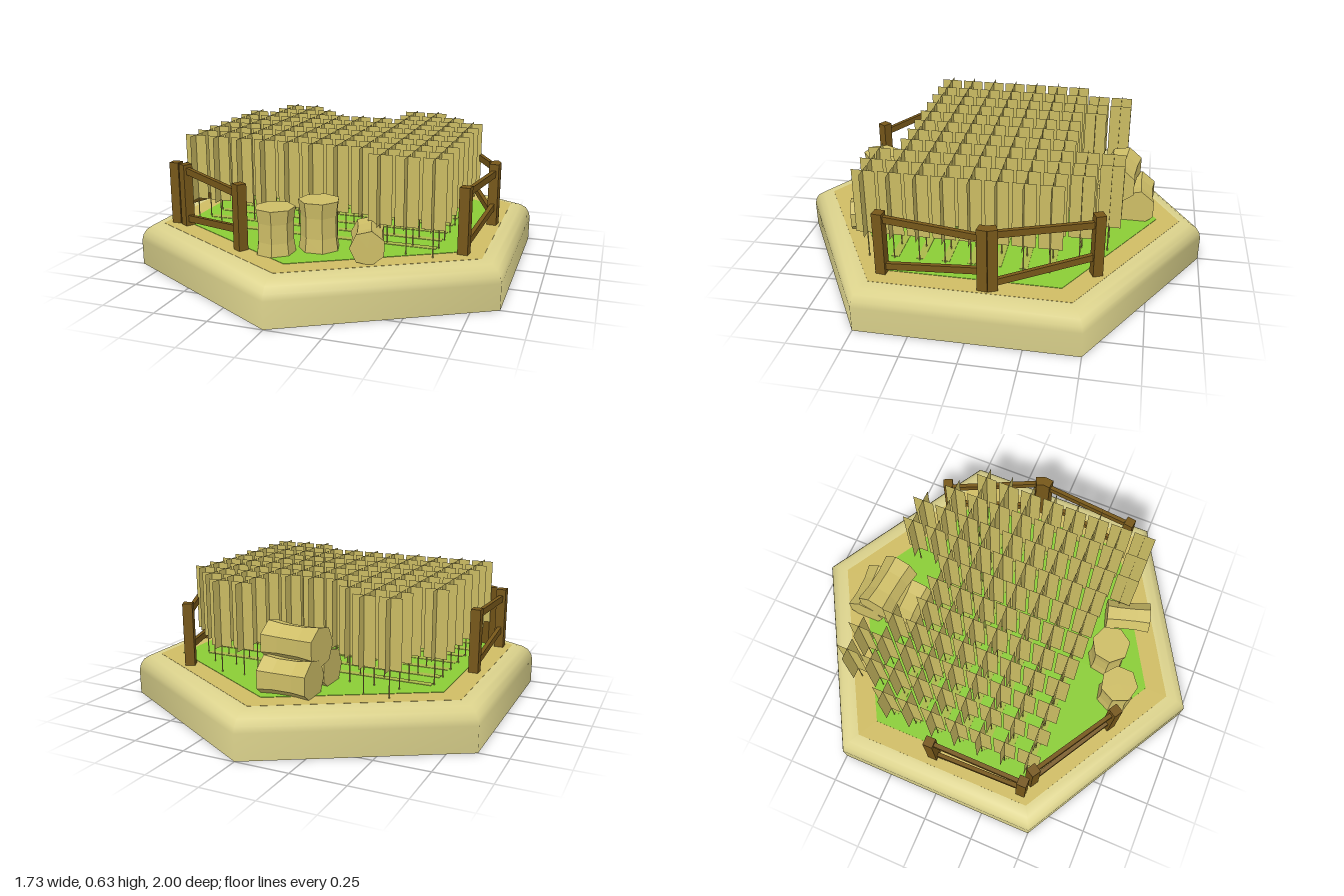
import * as THREE from 'three';
import { mergeGeometries } from 'three/addons/utils/BufferGeometryUtils.js';

const mat = (name, color, extra = {}) => {
  const m = new THREE.MeshStandardMaterial({ color, ...extra });
  m.name = name;
  return m;
};

export function createModel() {
  const group = new THREE.Group();
  const sand = mat('sand', 0xdbd28c);
  const dirt = mat('dirt', 0xcfbc64);
  const grass = mat('grass', 0x8acc36);
  const furrowTint = mat('furrow', 0xa9b84a);
  const wheat = mat('wheat', 0xcabb62, { side: THREE.DoubleSide });
  const straw = mat('straw', 0xcdbd66, { flatShading: true });
  const wood = mat('wood', 0x765719);

  const add = (name, geometry, material, parent = group) => {
    const mesh = new THREE.Mesh(geometry, material);
    mesh.name = name;
    parent.add(mesh);
    return mesh;
  };
  const lathe = (pts, sides) =>
    new THREE.LatheGeometry(pts.map(([r, y]) => new THREE.Vector2(r, y)), sides);

  // Hexagonal tile: rounded rim, flat bottom, dirt border and grass
  add('tileRim', lathe([[1, 0], [1, 0.12], [0.993, 0.148], [0.975, 0.175], [0.945, 0.193], [0.9, 0.2], [0.86, 0.2]], 6), sand);
  add('tileBottom', lathe([[0, 0], [1, 0]], 6), sand);
  add('dirtBorder', new THREE.CylinderGeometry(0.89, 0.89, 0.006, 6), dirt).position.y = 0.198;
  add('grass', new THREE.CylinderGeometry(0.78, 0.78, 0.006, 6), grass).position.y = 0.2;

  // Furrows under the seven full rows
  const pitch = 0.118;
  const colX = (i) => -0.61 + i * pitch;
  const rowZ = (j) => -0.56 + j * pitch;
  for (let j = 2; j <= 8; j++) {
    add('furrow', new THREE.BoxGeometry(1.16, 0.004, 0.035), furrowTint)
      .position.set(-0.02, 0.203, rowZ(j));
  }

  // Wheat: each plant is two crossed blades on a thin stem
  const plantGeometry = mergeGeometries([
    new THREE.PlaneGeometry(0.106, 0.31).translate(0, 0.48, 0),
    new THREE.PlaneGeometry(0.106, 0.31).rotateY(Math.PI / 2).translate(0, 0.48, 0),
    new THREE.CylinderGeometry(0.003, 0.003, 0.14, 4).translate(0, 0.26, 0),
  ]);
  const allColumns = [0, 1, 2, 3, 4, 5, 6, 7, 8, 9, 10];
  const partialRows = { 0: [1, 2, 7, 8], 1: [1, 2, 3, 7, 8, 9], 9: [8, 9, 10] };
  const plants = [];
  for (let j = 0; j < 10; j++) {
    for (const i of partialRows[j] ?? allColumns) {
      plants.push(plantGeometry.clone().translate(colX(i), 0, rowZ(j)));
    }
  }
  add('wheatField', mergeGeometries(plants), wheat);

  // Fences: two posts and two crooked rails
  const up = new THREE.Vector3(0, 1, 0);
  const addFence = (ax, az, bx, bz) => {
    const fence = new THREE.Group();
    fence.name = 'fence';
    const length = Math.hypot(bx - ax, bz - az);
    for (const x of [0, length]) {
      add('post', new THREE.BoxGeometry(0.046, 0.31, 0.046), wood, fence).position.set(x, 0.345, 0);
    }
    for (const [y0, y1] of [[0.47, 0.452], [0.233, 0.293]]) {
      const rail = add('rail', new THREE.BoxGeometry(Math.hypot(length, y1 - y0), 0.032, 0.02), wood, fence);
      rail.position.set(length / 2, (y0 + y1) / 2, 0);
      rail.rotation.z = Math.atan2(y1 - y0, length);
    }
    fence.position.set(ax, 0, az);
    fence.setRotationFromAxisAngle(up, -Math.atan2(bz - az, bx - ax));
    group.add(fence);
  };
  addFence(-0.715, -0.06, -0.715, 0.4);
  addFence(-0.65, 0.425, -0.25, 0.67);
  addFence(0.685, 0.405, 0.735, -0.06);
  addFence(0.73, -0.095, 0.535, -0.525);

  // Straw bales: seven-sided with a slim waist
  const baleGeometry = (r, h) => lathe(
    [[0, -h / 2], [r, -h / 2], [r * 0.9, -h / 5], [r * 0.9, h / 5], [r, h / 2], [0, h / 2]], 7);
  const addBale = (r, h, x, y, z, turn, lying) => {
    const geometry = baleGeometry(r, h);
    if (lying) geometry.rotateZ(Math.PI / 2);
    const bale = add(lying ? 'lyingBale' : 'standingBale', geometry, straw);
    bale.position.set(x, y, z);
    bale.rotation.y = turn;
  };
  // Front bales
  addBale(0.09, 0.21, -0.095, 0.3, 0.645, 0.2, false);
  addBale(0.093, 0.23, 0.07, 0.31, 0.54, 0.5, false);
  addBale(0.077, 0.215, 0.3, 0.27, 0.565, -1.28, true);
  // Stacked bales at the back
  addBale(0.095, 0.23, -0.083, 0.27, -0.675, 0, true);
  addBale(0.095, 0.22, -0.083, 0.27, -0.485, 0, true);
  addBale(0.092, 0.26, -0.07, 0.4, -0.59, -0.1, true);

  return group;
}
